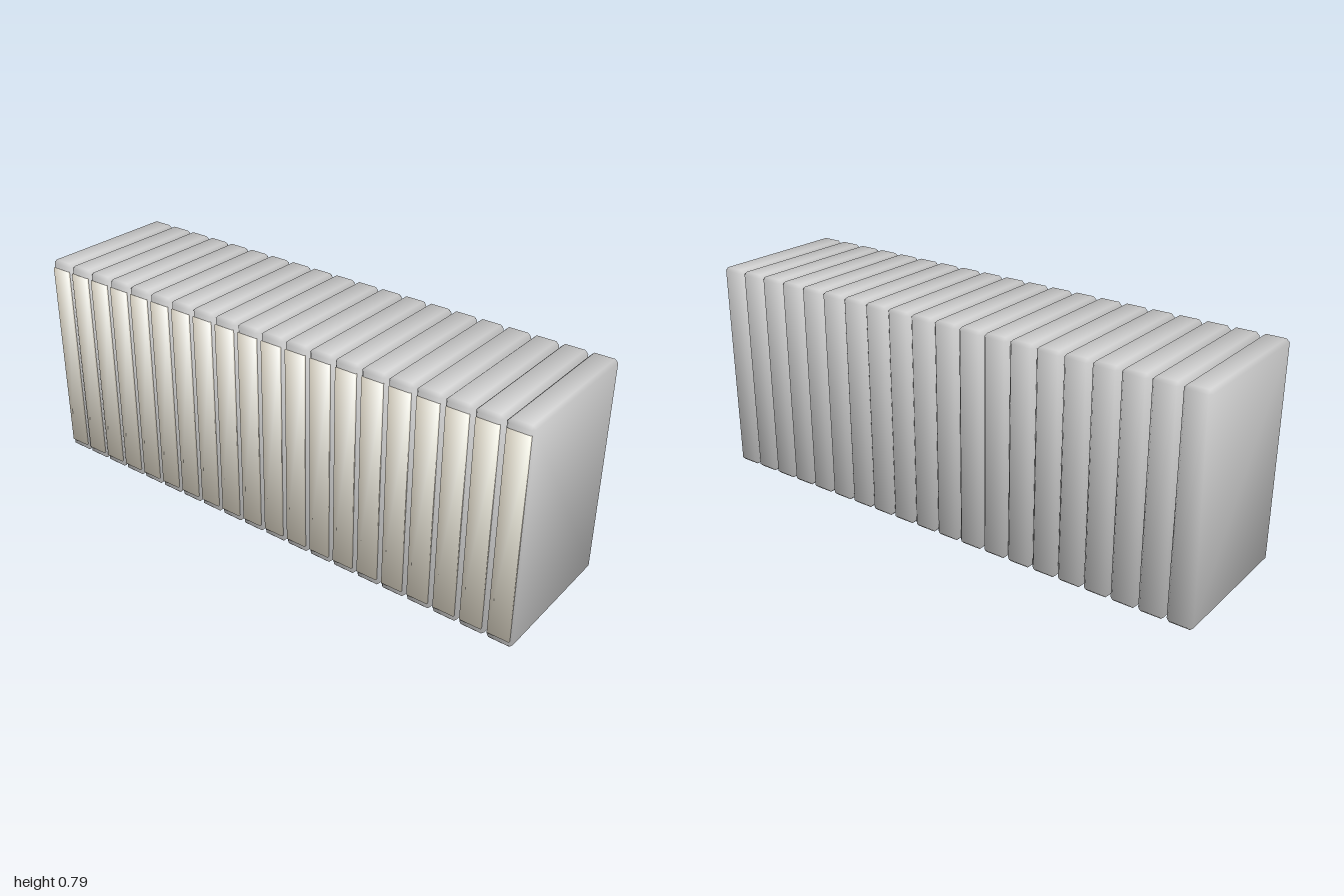
import * as THREE from 'three';
import { ConvexGeometry } from 'three/addons/geometries/ConvexGeometry.js';

const COUNT = 20, WIDTH = 0.092, HEIGHT = 0.793, DEPTH = 0.542, BEVEL = 0.011;

// Softens a centred box: normals lean outward at the corners so shading rolls over the edges.
function softenNormals(geometry, half, lean) {
  const p = geometry.attributes.position, n = geometry.attributes.normal;
  for (let i = 0; i < p.count; i++) {
    const v = [p.getX(i), p.getY(i), p.getZ(i)].map((c, a) =>
      Math.sign(c) * (Math.abs(c) > half[a] - 1e-4 ? 1 : lean));
    n.setXYZ(i, ...new THREE.Vector3(...v).normalize().toArray());
  }
  return geometry;
}

// Box with a single chamfer on every edge: three points at each corner.
function chamferedBox(w, h, d, bevel) {
  const half = [w / 2, h / 2, d / 2], points = [];
  for (const sx of [-1, 1]) for (const sy of [-1, 1]) for (const sz of [-1, 1]) {
    for (let axis = 0; axis < 3; axis++) {
      const c = [sx, sy, sz].map((s, a) => s * (half[a] - (a === axis ? 0 : bevel)));
      points.push(new THREE.Vector3(...c));
    }
  }
  return softenNormals(new ConvexGeometry(points), half, 0.4);
}

export function createModel() {
  const model = new THREE.Group();
  model.name = 'rowOfCases';

  const caseMaterial = new THREE.MeshStandardMaterial({ color: 0xcccccc });
  const labelMaterial = new THREE.MeshStandardMaterial({ color: 0xf0e8d6 });

  const caseGeometry = chamferedBox(WIDTH, HEIGHT, DEPTH, BEVEL);
  const labelSize = [0.078, 0.736, 0.008];
  const labelGeometry = softenNormals(
    new THREE.BoxGeometry(...labelSize), labelSize.map((s) => s / 2), 1);

  // Upright cases side by side, each with a cream spine label on the front
  const pitch = (2 - WIDTH) / (COUNT - 1);
  for (let i = 0; i < COUNT; i++) {
    const unit = new THREE.Group();
    unit.name = `case${i + 1}`;
    unit.position.set(-1 + WIDTH / 2 + i * pitch, HEIGHT / 2, -0.002);

    const body = new THREE.Mesh(caseGeometry, caseMaterial);
    body.name = 'caseBody';
    const label = new THREE.Mesh(labelGeometry, labelMaterial);
    label.name = 'spineLabel';
    label.position.z = DEPTH / 2;
    unit.add(body, label);
    model.add(unit);
  }
  return model;
}
